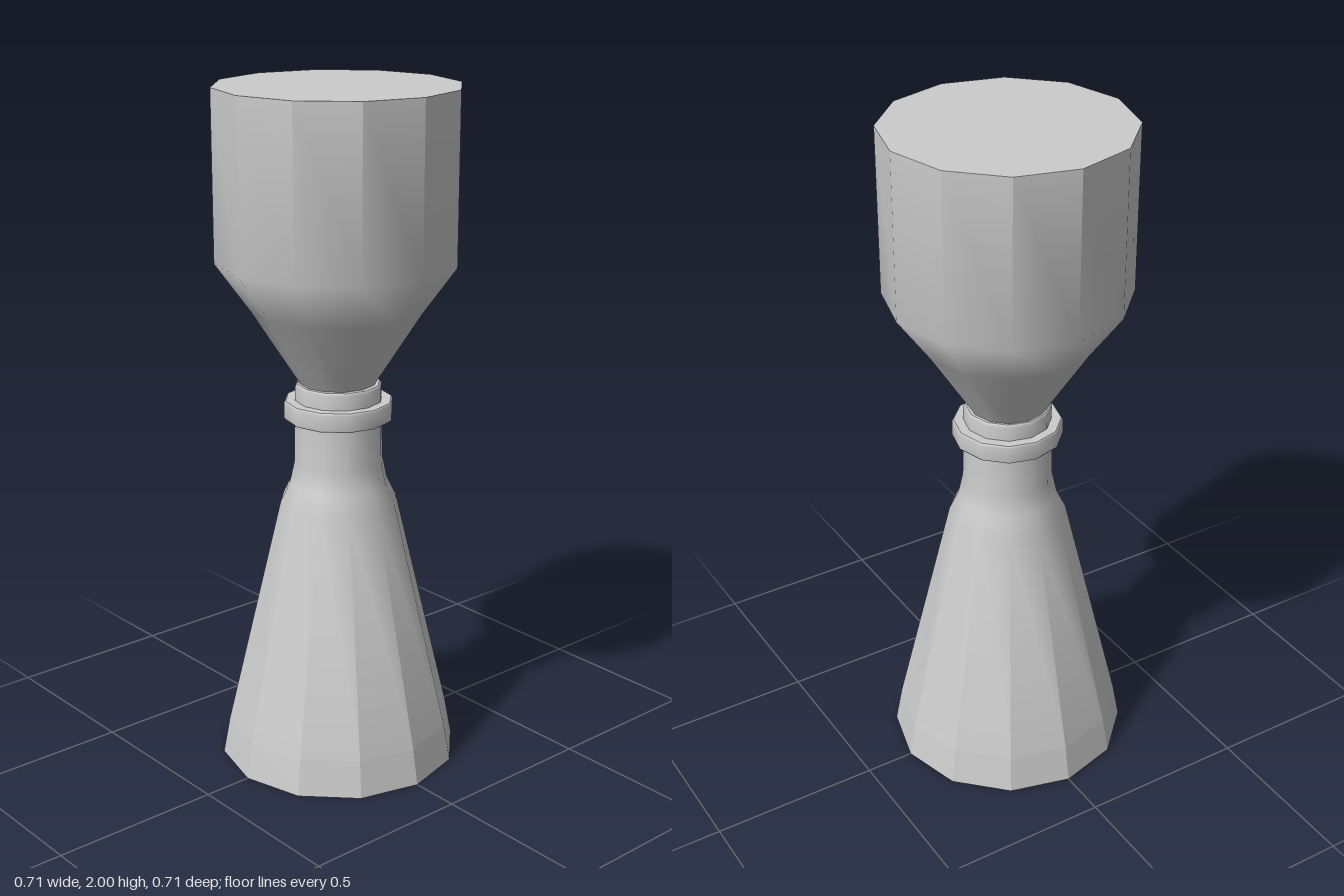
import * as THREE from 'three';

const SIDES = 12;
const material = new THREE.MeshStandardMaterial({ color: 0xcccccc });

// Turned shell with smooth normals, except faceted where isFlat(y) holds
function shell(profile, isFlat = () => false) {
  const points = profile.map(([r, y]) => new THREE.Vector2(r, y));
  const smooth = new THREE.LatheGeometry(points, SIDES).toNonIndexed();
  const flat = smooth.clone();
  flat.computeVertexNormals();
  const pos = smooth.attributes.position;
  const n = smooth.attributes.normal;
  const f = flat.attributes.normal;
  for (let i = 0; i < pos.count; i++) {
    if (isFlat(pos.getY(i))) n.setXYZ(i, f.getX(i), f.getY(i), f.getZ(i));
  }
  return new THREE.Mesh(smooth, material);
}

// Flat end disc facing up or down
function cap(r, y, up) {
  const mesh = new THREE.Mesh(new THREE.CircleGeometry(r, SIDES), material);
  mesh.rotation.x = up ? -Math.PI / 2 : Math.PI / 2;
  mesh.position.y = y;
  return mesh;
}

// Closed turned part: shell plus a disc at each end
function turned(name, profile, isFlat) {
  const part = new THREE.Group();
  part.name = name;
  const [r0, y0] = profile[0];
  const [r1, y1] = profile[profile.length - 1];
  const body = shell(profile, isFlat);
  const bottom = cap(r0, y0, false);
  const top = cap(r1, y1, true);
  body.name = name + 'Shell';
  bottom.name = name + 'Bottom';
  top.name = name + 'Top';
  part.add(body, bottom, top);
  return part;
}

export function createModel() {
  const model = new THREE.Group();
  model.name = 'doubleEndedVessel';

  // Flared foot narrowing into the neck
  const foot = turned('foot', [
    [0.355, 0], [0.335, 0.11], [0.172, 0.8], [0.145, 0.855], [0.131, 0.92], [0.128, 1.06],
  ], (y) => y < 0.2);

  // Projecting collar and the thinner ring on top of it
  const collar = turned('collar', [
    [0.155, 1.05], [0.16, 1.056], [0.16, 1.1], [0.155, 1.106],
  ]);
  const ring = turned('neckRing', [
    [0.127, 1.1], [0.127, 1.148], [0.12, 1.155],
  ]);

  // Funnel widening into the straight-sided cup, faceted at the rim
  const cup = turned('cup', [
    [0.107, 1.15], [0.25, 1.375], [0.35, 1.515], [0.35, 2],
  ], (y) => y > 1.9);
  cup.position.z = -0.004;

  model.add(foot, collar, ring, cup);
  return model;
}
